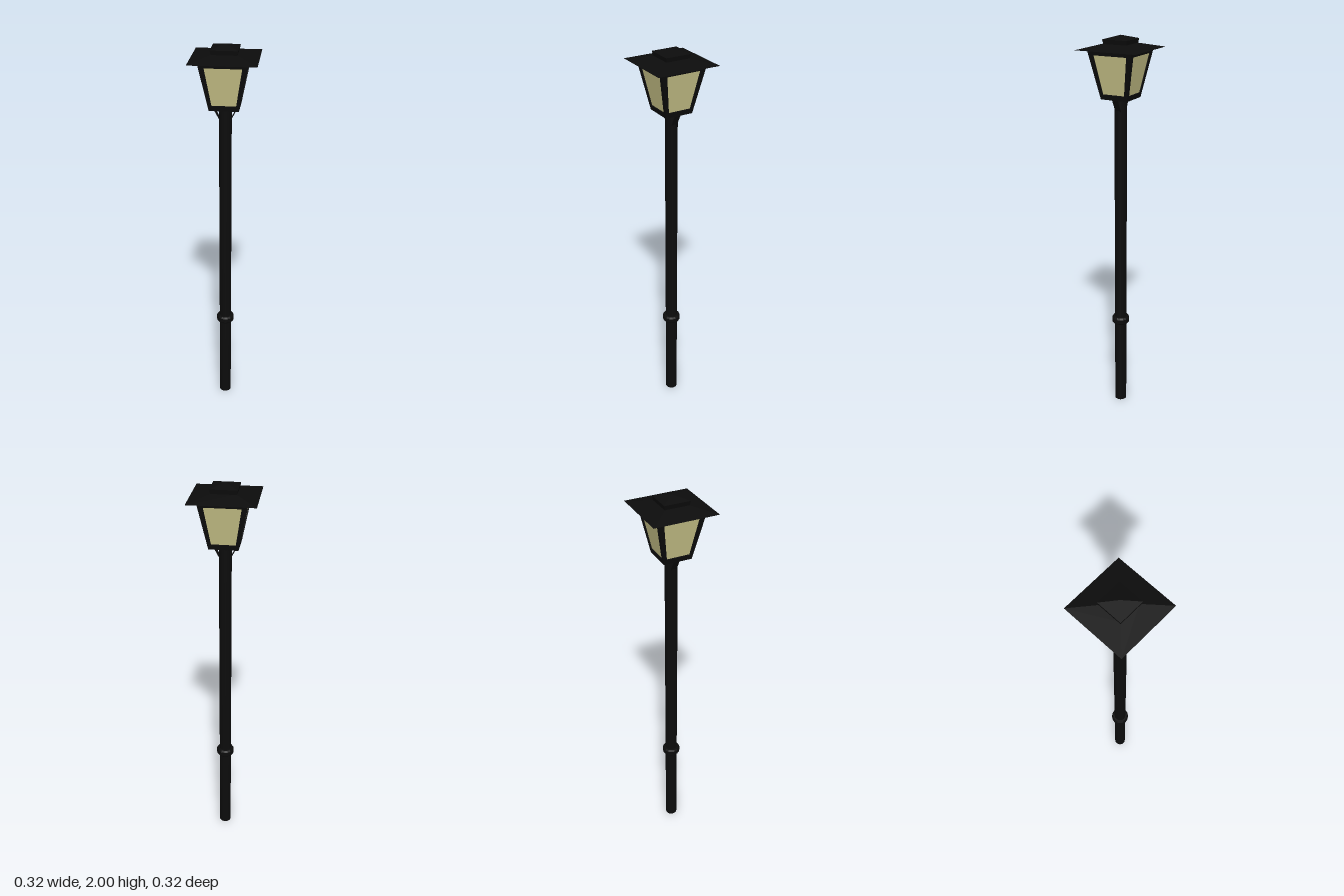
import * as THREE from 'three';

const black = new THREE.MeshStandardMaterial({ color: 0x0c0c0c });
const blackFlat = new THREE.MeshStandardMaterial({ color: 0x0c0c0c, flatShading: true });
const blackThin = new THREE.MeshStandardMaterial({ color: 0x0c0c0c, side: THREE.DoubleSide });
const glass = new THREE.MeshStandardMaterial({ color: 0xc8c288, side: THREE.DoubleSide });

function add(parent, name, geometry, material) {
  const mesh = new THREE.Mesh(geometry, material);
  mesh.name = name;
  parent.add(mesh);
  return mesh;
}

// Square frustum given by half widths and bottom/top heights
function frustum(bottomHalf, topHalf, y0, y1) {
  const g = new THREE.CylinderGeometry(topHalf * Math.SQRT2, bottomHalf * Math.SQRT2, y1 - y0, 4);
  return g.rotateY(Math.PI / 4).translate(0, (y0 + y1) / 2, 0);
}

// Symmetric trapezoid outline
function trapezoid(Type, halfBottom, halfTop, y0, y1) {
  const path = new Type();
  path.moveTo(-halfBottom, y0);
  path.lineTo(halfBottom, y0);
  path.lineTo(halfTop, y1);
  path.lineTo(-halfTop, y1);
  path.closePath();
  return path;
}

export function createModel() {
  const model = new THREE.Group();
  model.name = 'streetLamp';

  // Post and collar
  add(model, 'post', new THREE.CylinderGeometry(0.031, 0.031, 1.7, 16).translate(0, 0.85, 0), black);
  const collar = [[0.03, 0.478], [0.04, 0.478], [0.046, 0.486], [0.046, 0.508], [0.04, 0.517], [0.03, 0.517]];
  add(model, 'collar', new THREE.LatheGeometry(collar.map(([r, y]) => new THREE.Vector2(r, y)), 16), blackFlat);

  // Thin straps bracing the lantern on the post
  for (const side of [-1, 1]) {
    const strap = add(model, 'strap', new THREE.BoxGeometry(0.003, 0.094, 0.03), black);
    strap.position.set(side * 0.038, 1.66, 0);
    strap.rotation.z = -side * 0.5;
  }

  // Four sloping lantern sides: a frame with a pane in it
  const bottomHalf = 0.071, topHalf = 0.119, base = 1.7, rise = 0.245;
  const slope = Math.atan2(topHalf - bottomHalf, rise);
  const length = Math.hypot(topHalf - bottomHalf, rise);
  const frameShape = trapezoid(THREE.Shape, bottomHalf, topHalf, 0, length);
  frameShape.holes.push(trapezoid(THREE.Path, 0.058, 0.088, 0.025, 0.217));
  const frameGeometry = new THREE.ExtrudeGeometry(frameShape, { depth: 0.01, bevelEnabled: false }).translate(0, 0, -0.01);
  const paneGeometry = new THREE.ShapeGeometry(trapezoid(THREE.Shape, 0.059, 0.09, 0.023, 0.219)).translate(0, 0, -0.005);
  for (let i = 0; i < 4; i++) {
    const turn = new THREE.Group();
    turn.name = 'lanternSide';
    turn.rotation.y = i * Math.PI / 2;
    const panel = new THREE.Group();
    panel.name = 'panel';
    panel.position.set(0, base, bottomHalf);
    panel.rotation.x = slope;
    add(panel, 'frame', frameGeometry, blackThin);
    add(panel, 'pane', paneGeometry, glass);
    turn.add(panel);
    model.add(turn);
  }

  // Lantern floor, roof and stepped cap
  add(model, 'lanternFloor', frustum(0.07, 0.073, 1.7, 1.715), blackFlat);
  add(model, 'roof', frustum(0.16, 0.055, 1.937, 1.962), blackFlat);
  add(model, 'cap', frustum(0.06, 0.065, 1.955, 1.982), blackFlat);
  add(model, 'capPeak', frustum(0.065, 0.001, 1.982, 2), blackFlat);

  return model;
}
